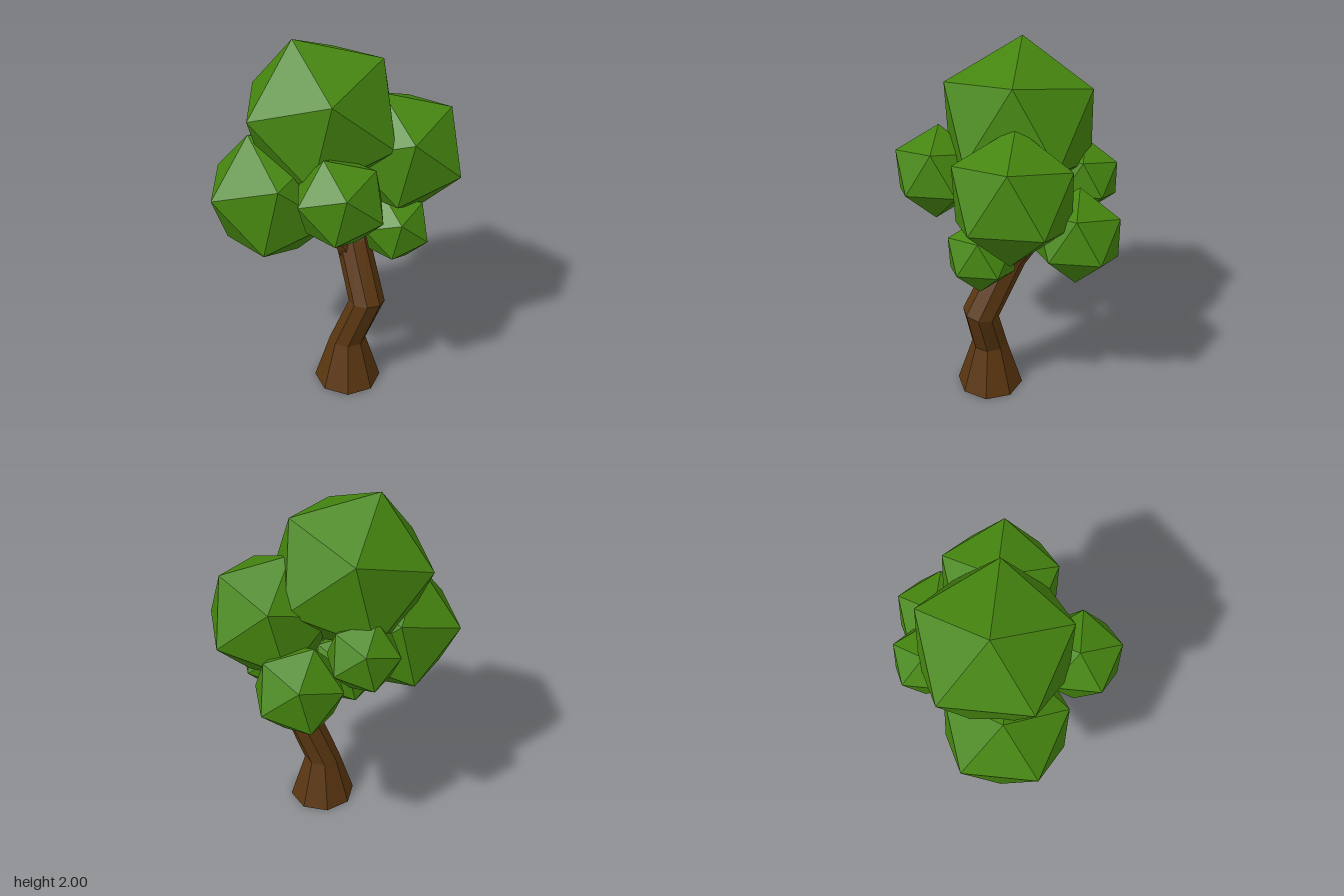
import * as THREE from 'three';

// Faceted limb: each ring is [x, y, z, radius, tilt along x, tilt along z]
function limb(name, rings, sides, material) {
  const n = rings.length - 1;
  const base = new THREE.CylinderGeometry(1, 1, n, sides, n);
  const pos = base.attributes.position;
  for (let i = 0; i < pos.count; i++) {
    const [cx, cy, cz, r, tx = 0, tz = 0] = rings[Math.round(pos.getY(i) + n / 2)];
    const dx = pos.getX(i) * r, dz = pos.getZ(i) * r;
    pos.setXYZ(i, cx + dx, cy + tx * dx + tz * dz, cz + dz);
  }
  const geometry = base.toNonIndexed();
  geometry.computeVertexNormals();
  const mesh = new THREE.Mesh(geometry, material);
  mesh.name = name;
  return mesh;
}

export function createModel() {
  const bark = new THREE.MeshStandardMaterial({ color: 0x5a3611 });
  bark.name = 'bark brown';
  const leaf = new THREE.MeshStandardMaterial({ color: 0x45850f });
  leaf.name = 'leaf green';

  const tree = new THREE.Group();
  tree.name = 'tree';

  // Crooked trunk with a flared foot
  tree.add(limb('trunk', [
    [0.06, 0, 0.105, 0.185],
    [0.06, 0.275, 0.105, 0.1],
    [0.162, 0.55, 0.137, 0.098, 0, 0.2],
    [0.085, 0.86, -0.005, 0.09, 0.25, 0.3],
    [0.085, 1.06, -0.15, 0.068, 0, 0.4],
  ], 8, bark));

  // Short side branch
  tree.add(limb('branch', [
    [0.075, 0.78, 0.02, 0.06],
    [-0.018, 0.975, 0.06, 0.042, 0.2, 0],
  ], 6, bark));

  // Leaf clumps, all tilted alike: [name, x, y, z, radius]
  const clumps = [
    ['topFoliage', -0.075, 1.585, -0.04, 0.44],
    ['leftFoliage', 0.344, 1.38, -0.057, 0.345],
    ['rightFoliage', -0.331, 1.176, 0.043, 0.366],
    ['frontFoliage', 0.015, 1.325, 0.376, 0.246],
    ['lowFoliage', 0.305, 1.016, 0.107, 0.197],
    ['backLeftFoliage', 0.247, 1.128, -0.375, 0.246],
    ['backRightFoliage', -0.075, 1.297, -0.381, 0.199],
    ['innerFoliage', -0.02, 1.11, -0.186, 0.2],
  ];
  for (const [name, x, y, z, r] of clumps) {
    const clump = new THREE.Mesh(new THREE.IcosahedronGeometry(r, 0), leaf);
    clump.name = name;
    clump.position.set(x, y, z);
    clump.rotation.z = -0.218;
    tree.add(clump);
  }
  return tree;
}
